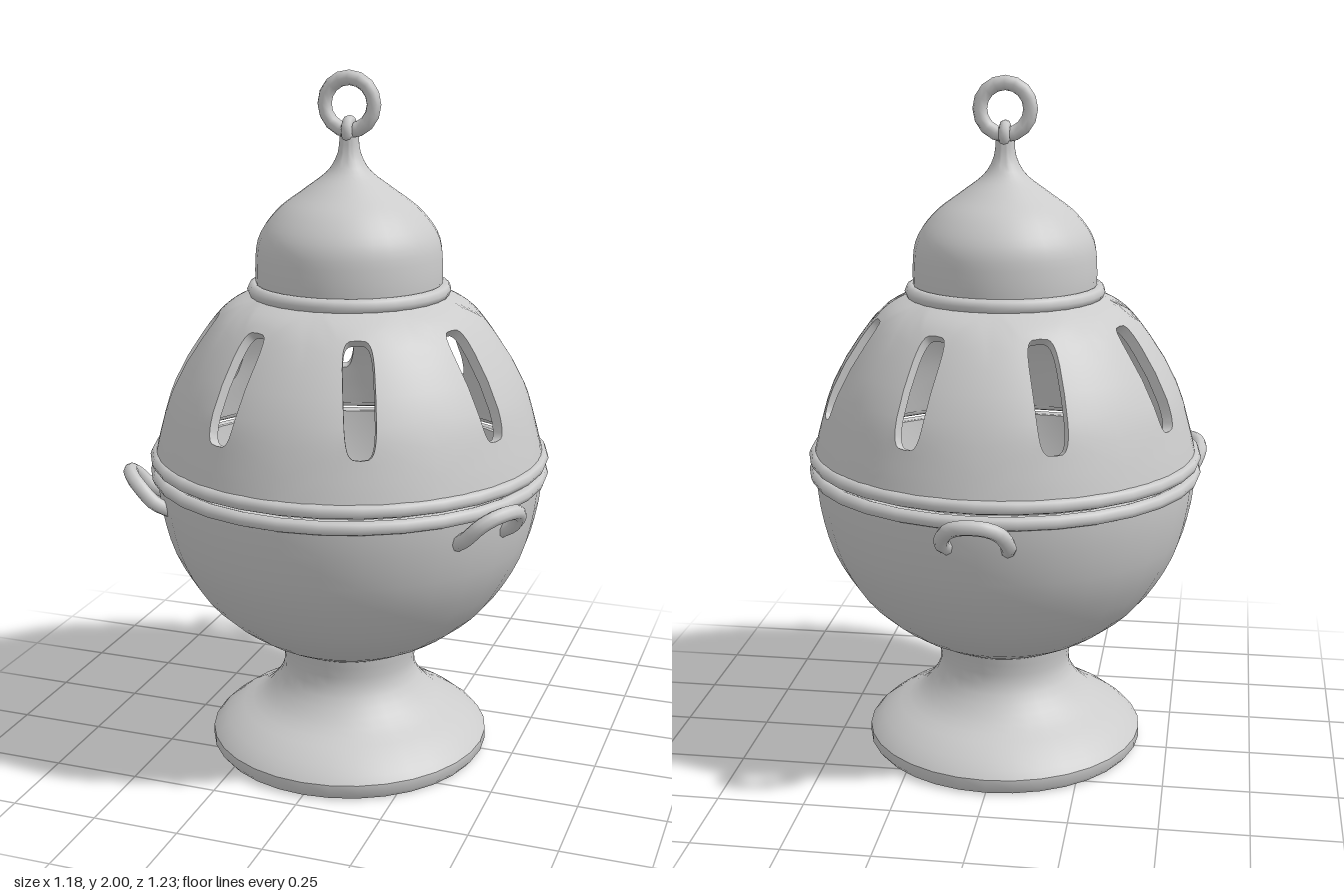
import * as THREE from 'three';
import { toCreasedNormals } from 'three/addons/utils/BufferGeometryUtils.js';

const SIDES = 32;
const material = new THREE.MeshStandardMaterial({ color: 0xcccccc, side: THREE.DoubleSide });

const vec2 = (list) => list.map(([r, y]) => new THREE.Vector2(r, y));
const smooth = (list, n) => new THREE.SplineCurve(vec2(list)).getSpacedPoints(n);

function addMesh(parent, name, geometry) {
  const mesh = new THREE.Mesh(geometry, material);
  mesh.name = name;
  parent.add(mesh);
  return mesh;
}

function lathe(parent, name, points) {
  return addMesh(parent, name, toCreasedNormals(new THREE.LatheGeometry(points, SIDES), 0.7));
}

function band(parent, name, radius, y, tube) {
  const mesh = addMesh(parent, name, new THREE.TorusGeometry(radius, tube, 8, SIDES));
  mesh.rotation.x = Math.PI / 2;
  mesh.position.y = y;
  return mesh;
}

// Domed shell with eight slots: each sector is a web of loops running from its
// border to the slot on the outside, then back to the border on the inside.
function piercedDome() {
  const profile = new THREE.SplineCurve(vec2([
    [0.56, 0.92], [0.54, 1.0], [0.505, 1.115], [0.445, 1.225], [0.355, 1.34], [0.26, 1.39]]));
  const sectors = 8, perSide = 8, steps = 6, thickness = 0.03;
  const loop = perSide * 4, rows = 2 * (steps + 1);
  const positions = [], index = [];
  const power = (c) => Math.sign(c) * Math.sqrt(Math.abs(c));

  for (let s = 0; s < sectors; s++) {
    const base = positions.length / 3;
    const middle = (s + 0.5) * Math.PI * 2 / sectors;
    for (let j = 0; j < rows; j++) {
      const inside = j > steps;
      const k = (inside ? rows - 1 - j : j) / steps;
      for (let i = 0; i < loop; i++) {
        // Point on the square border, counter-clockwise
        const side = Math.floor(i / perSide), f = (i % perSide) / perSide * 2 - 1;
        const [u, v] = [[f, -1], [1, f], [-f, 1], [-1, -f]][side];
        // Matching point on the slot outline
        const a = Math.atan2(v, u);
        const slotT = 0.5 + 0.28 * power(Math.sin(a));
        const slotA = 0.043 * power(Math.cos(a)) / profile.getPointAt(slotT).x;
        const t = THREE.MathUtils.lerp(0.5 + v * 0.5, slotT, k);
        const angle = middle + THREE.MathUtils.lerp(u * Math.PI / sectors, slotA, k);
        const p = profile.getPointAt(t), d = profile.getTangentAt(t);
        const r = p.x - (inside ? d.y * thickness : 0);
        const y = p.y + (inside ? d.x * thickness : 0);
        positions.push(r * Math.sin(angle), y, r * Math.cos(angle));
      }
    }
    for (let j = 0; j < rows - 1; j++) {
      for (let i = 0; i < loop; i++) {
        const n = (i + 1) % loop;
        const a = base + j * loop + i, b = base + j * loop + n;
        index.push(a, b, b + loop, a, b + loop, a + loop);
      }
    }
  }
  const geometry = new THREE.BufferGeometry();
  geometry.setAttribute('position', new THREE.Float32BufferAttribute(positions, 3));
  geometry.setIndex(index);
  return toCreasedNormals(geometry, 0.7);
}

export function createModel() {
  const model = new THREE.Group();
  model.name = 'censer';
  const body = new THREE.Group();
  body.name = 'body';
  body.position.z = 0.04;
  model.add(body);

  // Flared hollow foot
  lathe(body, 'foot', [
    ...smooth([[0.165, 0.335], [0.165, 0.25], [0.22, 0.16], [0.31, 0.09], [0.37, 0.045]], 10),
    ...vec2([[0.38, 0.005], [0.4, 0.005], [0.412, 0.02], [0.412, 0.05]]),
    ...smooth([[0.395, 0.07], [0.345, 0.108], [0.265, 0.155], [0.215, 0.21], [0.195, 0.26], [0.203, 0.34]], 12),
  ]);

  // Bowl with inner wall
  lathe(body, 'bowl', [
    new THREE.Vector2(0, 0.33),
    ...smooth([[0.2, 0.332], [0.3, 0.385], [0.395, 0.46], [0.46, 0.54], [0.52, 0.655], [0.553, 0.79], [0.56, 0.885]], 14),
    ...smooth([[0.53, 0.885], [0.52, 0.78], [0.49, 0.66], [0.43, 0.55], [0.34, 0.45], [0.2, 0.37]], 10),
    new THREE.Vector2(0, 0.36),
  ]);
  band(body, 'bowlRim', 0.556, 0.87, 0.02);

  // Pierced lid
  addMesh(body, 'lidDome', piercedDome());
  band(body, 'lidRim', 0.556, 0.915, 0.02);

  // Onion-shaped cap
  band(body, 'capRim', 0.268, 1.395, 0.021);
  lathe(body, 'cap', smooth([
    [0.262, 1.38], [0.265, 1.46], [0.253, 1.545], [0.2, 1.618], [0.125, 1.675],
    [0.06, 1.725], [0.032, 1.775], [0.027, 1.82]], 24));

  // Eye on the cap and the ring through it
  const eye = addMesh(body, 'eye', new THREE.TorusGeometry(0.024, 0.016, 8, 14));
  eye.rotation.y = Math.PI / 2;
  eye.position.y = 1.838;
  const ring = addMesh(body, 'topRing', new THREE.TorusGeometry(0.072, 0.021, 8, 16));
  ring.position.y = 1.907;

  // Three chain loops around the bowl
  const half = [[0.082, 0.79, 0.53], [0.09, 0.818, 0.575], [0.072, 0.86, 0.612], [0.035, 0.88, 0.63]];
  const path = [
    ...half.map(([x, y, z]) => new THREE.Vector3(-x, y, z)),
    ...half.slice().reverse().map(([x, y, z]) => new THREE.Vector3(x, y, z)),
  ];
  const loopGeometry = new THREE.TubeGeometry(new THREE.CatmullRomCurve3(path), 20, 0.021, 8);
  for (let i = 0; i < 3; i++) {
    const loop = addMesh(body, 'chainLoop', loopGeometry);
    loop.rotation.y = Math.PI / 3 + i * Math.PI * 2 / 3;
  }
  return model;
}
